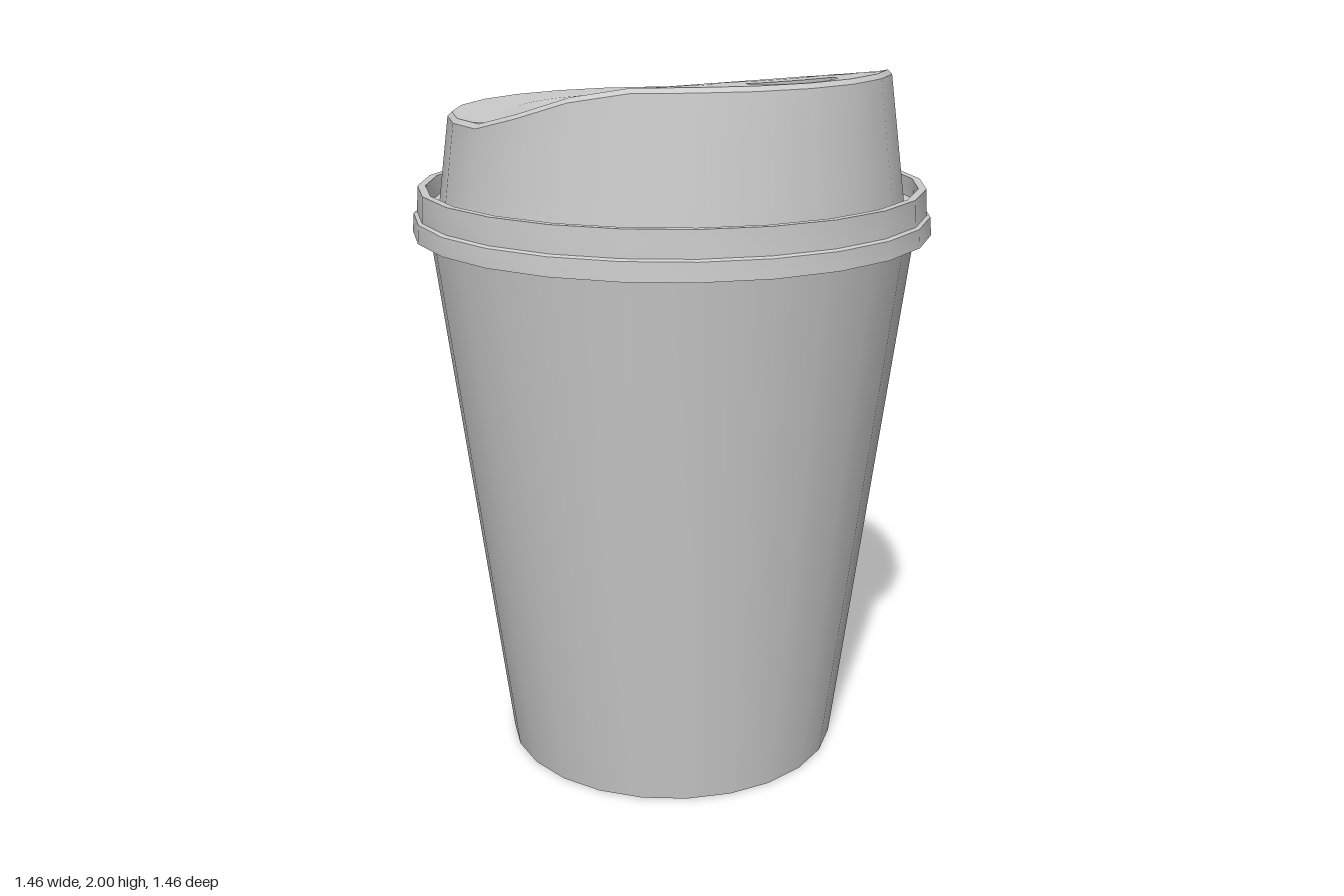
import * as THREE from 'three';
import { toCreasedNormals } from 'three/addons/utils/BufferGeometryUtils.js';

const SIDES = 24, COLS = 72, HOLE = 3; // mouth hole spans HOLE columns each side of +x
const material = new THREE.MeshStandardMaterial({ color: 0xcccccc, side: THREE.DoubleSide });

function addMesh(group, name, geometry, crease = 0.6) {
  const mesh = new THREE.Mesh(toCreasedNormals(geometry, crease), material);
  mesh.name = name;
  group.add(mesh);
}

function lathe(profile) {
  return new THREE.LatheGeometry(profile.map(([r, y]) => new THREE.Vector2(r, y)), SIDES);
}

// Surface through rows of points; skip(i, j) leaves a cell open
function grid(rows, cols, point, skip = () => false) {
  const positions = [], index = [];
  for (let i = 0; i < rows; i++)
    for (let j = 0; j <= cols; j++) positions.push(...point(i, j).toArray());
  for (let i = 0; i < rows - 1; i++)
    for (let j = 0; j < cols; j++) {
      if (skip(i, j)) continue;
      const a = i * (cols + 1) + j, d = a + cols + 1;
      index.push(a, a + 1, d + 1, a, d + 1, d);
    }
  const g = new THREE.BufferGeometry();
  g.setAttribute('position', new THREE.Float32BufferAttribute(positions, 3));
  g.setIndex(index);
  g.computeVertexNormals();
  return g;
}

// The lid is low at -x and sweeps up to the drinking side at +x
const lidHeight = x => 1.88 + 0.12 * THREE.MathUtils.smoothstep(x, -0.05, 0.48);
const wallRadius = y => 0.645 - (y - 1.68) * 0.13;

// Corner k of the lid's top edge
function rimCorner(k, inset, drop) {
  const a = (k % SIDES) / SIDES * Math.PI * 2;
  const y = lidHeight(0.62 * Math.cos(a));
  const r = wallRadius(y) - inset;
  return new THREE.Vector3(r * Math.cos(a), y - drop, -r * Math.sin(a));
}

// Point on the straight edge between two corners
function rimPoint(j, inset, drop) {
  const t = j * SIDES / COLS, k = Math.floor(t);
  return rimCorner(k, inset, drop).lerp(rimCorner(k + 1, inset, drop), t - k);
}

// Inner rows of the lid top: [0] and [1] bound the mouth hole, the rest run into the dish
const DISH = 0.44, FLOOR = 1.84;
const radii = [0.58, 0.522, 0.48, DISH];
for (let k = 1; k <= 12; k++) radii.push(DISH * (1 - k / 12));

function topPoint(i, j) {
  if (i === 0) return rimPoint(j, 0, 0.012);
  if (i === 1) return rimPoint(j, 0.012, 0);
  const a = j / COLS * Math.PI * 2;
  const off = Math.min(j, COLS - j) / HOLE; // 1 at the ends of the mouth hole
  let r = radii[i - 2];
  if (i === 2) r -= 0.026 * Math.min(1, off * off);
  if (i === 3) r += 0.008 * Math.min(1, off * off);
  const x = r * Math.cos(a), z = -r * Math.sin(a);
  const t = THREE.MathUtils.clamp((DISH - r) / 0.18, 0, 1);
  return new THREE.Vector3(x, THREE.MathUtils.lerp(lidHeight(x), FLOOR, t * (2 - t)), z);
}

export function createModel() {
  const model = new THREE.Group();
  model.name = 'lidded cup';

  // Tapered cup with a recessed base
  addMesh(model, 'cup', lathe([[0, 0.12], [0.43, 0.12], [0.44, 0], [0.488, 0], [0.685, 1.57]]));

  // Stepped lid rim with a groove inside it
  addMesh(model, 'lidRim', lathe([
    [0.67, 1.55], [0.728, 1.55], [0.724, 1.6], [0.714, 1.605], [0.71, 1.677],
    [0.688, 1.677], [0.682, 1.625], [0.652, 1.625],
  ]));

  // Lid wall from the groove to the sloping top edge
  addMesh(model, 'lidWall', grid(4, SIDES, (i, j) => {
    const top = rimCorner(j, 0, 0.012);
    const a = (j % SIDES) / SIDES * Math.PI * 2;
    const base = new THREE.Vector3(0.652 * Math.cos(a), 1.625, -0.652 * Math.sin(a));
    return base.lerp(top, i / 3);
  }));

  // Lid top with dish and mouth hole
  const inHole = (i, j) => i === 2 && (j < HOLE || j >= COLS - HOLE);
  addMesh(model, 'lidTop', grid(radii.length + 2, COLS, topPoint, inHole), 0.7);

  // Short wall around the mouth hole
  const loop = [];
  for (let k = -HOLE; k <= HOLE; k++) loop.push(topPoint(2, (k + COLS) % COLS));
  for (let k = HOLE; k >= -HOLE; k--) loop.push(topPoint(3, (k + COLS) % COLS));
  addMesh(model, 'mouthHoleWall', grid(2, loop.length, (i, j) => {
    const p = loop[j % loop.length].clone();
    p.y -= i * 0.03;
    return p;
  }));

  return model;
}
